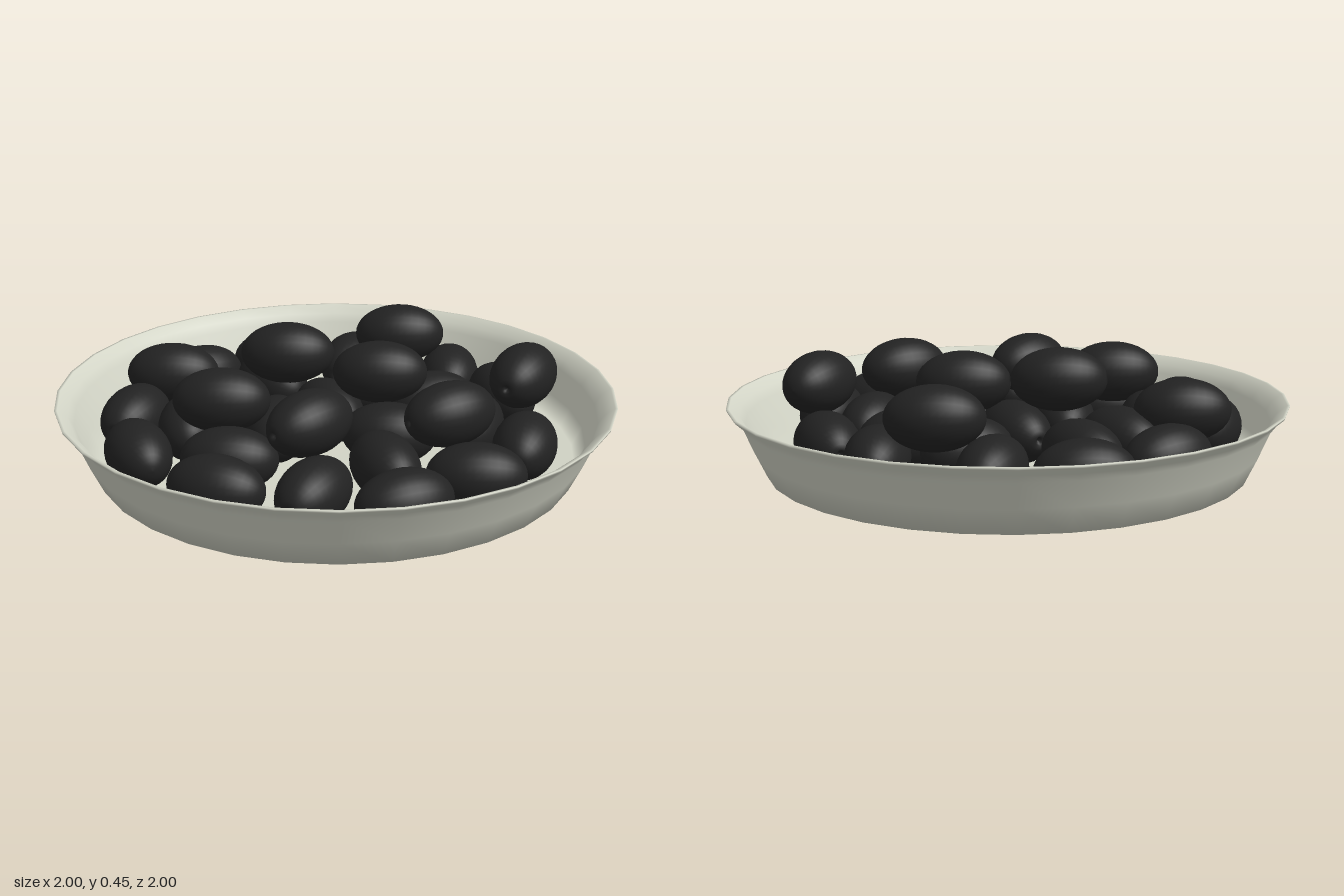
import * as THREE from 'three';

const dishMaterial = new THREE.MeshStandardMaterial({ color: 0xd2d4c6 });
const oliveMaterial = new THREE.MeshStandardMaterial({ color: 0x222222 });

const LENGTH = 0.17; // half length of an olive
const RADIUS = 0.112; // half width of an olive

// Olives lying on the floor of the dish: [x, z, heading in degrees]
const lowerOlives = [
  [-0.35, -0.59, 14], [-0.05, -0.6, 80], [0.35, -0.53, 95], [-0.6, -0.35, 44],
  [-0.31, -0.33, -43], [0.08, -0.36, 40], [0.32, -0.24, 22], [0.57, -0.36, -58],
  [-0.42, -0.11, -40], [-0.04, -0.08, -50], [0.21, 0.1, 5], [0.49, -0.03, 82],
  [0.69, 0.12, 85], [-0.72, 0.11, 80], [-0.5, 0.17, -78], [-0.19, 0.13, -80],
  [-0.29, 0.42, 5], [0.24, 0.38, -58], [0.55, 0.4, 8], [-0.61, 0.43, -56],
  [-0.275, 0.655, -8], [0.045, 0.63, 72], [0.345, 0.65, 33],
];

// Olives resting on top of the others: [x, z, heading in degrees, height of centre]
const upperOlives = [
  [0.15, -0.55, 190, 0.288], [-0.63, -0.085, 8, 0.24], [-0.2, -0.11, 10, 0.34],
  [0.15, -0.06, 8, 0.308], [0.66, -0.13, 73, 0.304], [-0.35, 0.28, 10, 0.295],
  [-0.01, 0.42, 55, 0.292], [0.44, 0.25, 40, 0.29],
];

// Thin-walled round dish with a flared lip
function createDish() {
  const profile = [
    [0, 0], [0.865, 0], [0.91, 0.095], [0.95, 0.19], [0.97, 0.217], [0.998, 0.242],
    [1, 0.25], [0.99, 0.25], [0.955, 0.222], [0.935, 0.19], [0.895, 0.1], [0.86, 0.03], [0, 0.03],
  ].map(([r, y]) => new THREE.Vector2(r, y));
  const dish = new THREE.Mesh(new THREE.LatheGeometry(profile, 32), dishMaterial);
  dish.name = 'dish';
  return dish;
}

// Ellipsoid lying along x with a small stem pit at its -x end
function createOliveGeometry() {
  const profile = [new THREE.Vector2(0, -LENGTH + 0.02), new THREE.Vector2(0.012, -LENGTH + 0.014)];
  const steps = 18, start = 0.15;
  for (let i = 0; i <= steps; i++) {
    const t = start + (Math.PI - start) * (i / steps);
    profile.push(new THREE.Vector2(i === steps ? 0 : RADIUS * Math.sin(t), -LENGTH * Math.cos(t)));
  }
  return new THREE.LatheGeometry(profile, 28).rotateZ(-Math.PI / 2);
}

export function createModel() {
  const model = new THREE.Group();
  model.name = 'dishOfOlives';
  model.add(createDish());

  const olives = new THREE.Group();
  olives.name = 'olives';
  const geometry = createOliveGeometry();
  [...lowerOlives, ...upperOlives].forEach(([x, z, heading, y = 0.138], i) => {
    const olive = new THREE.Mesh(geometry, oliveMaterial);
    olive.name = `olive${i + 1}`;
    olive.position.set(x, y, z);
    olive.rotation.y = THREE.MathUtils.degToRad(heading);
    olives.add(olive);
  });
  model.add(olives);
  return model;
}
